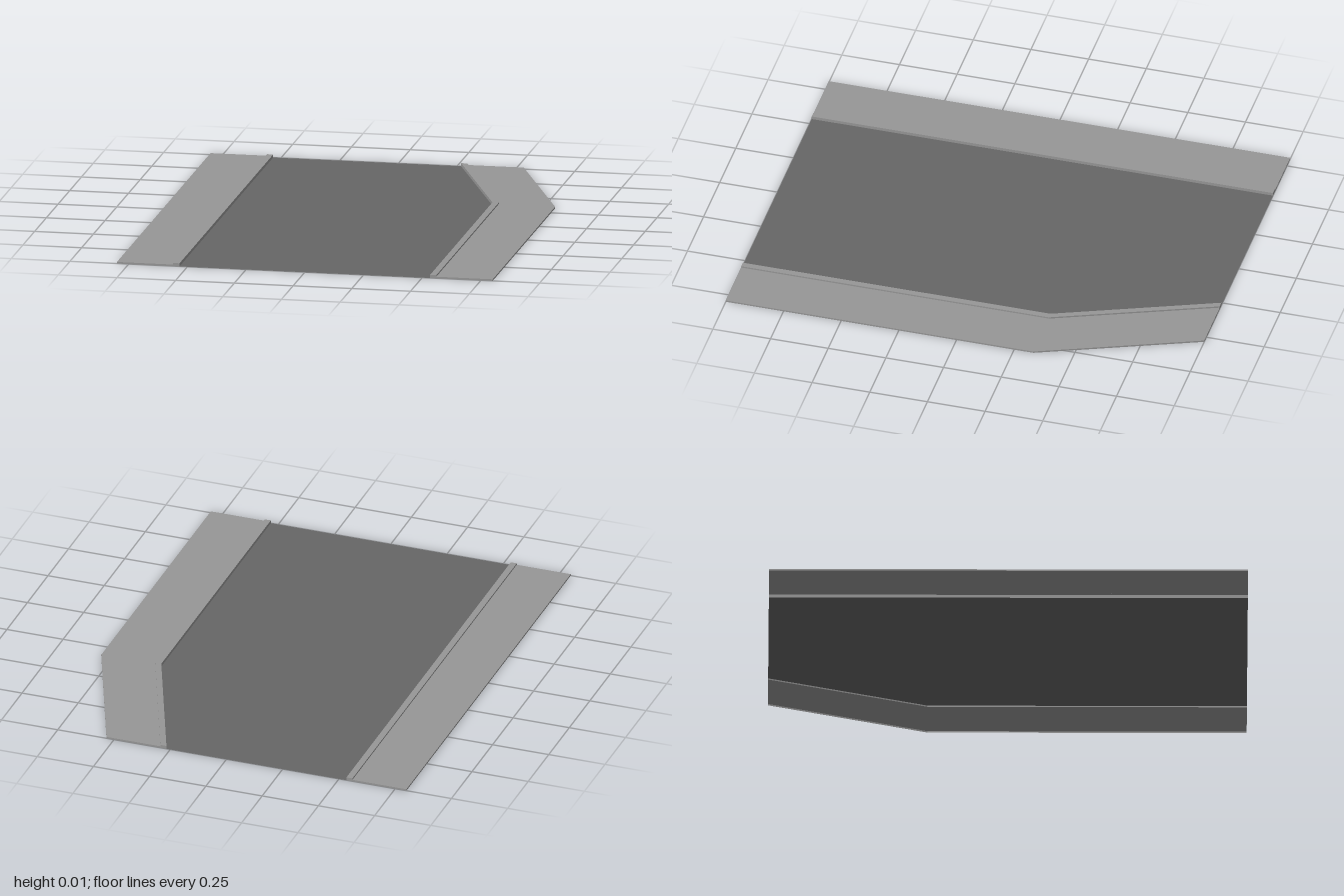
import * as THREE from 'three';

const concrete = new THREE.MeshStandardMaterial({ name: 'concrete', color: 0x979797, side: THREE.DoubleSide });
const asphalt = new THREE.MeshStandardMaterial({ name: 'asphalt', color: 0x666666, side: THREE.DoubleSide });

// Pavement section: [distance from the road edge, height], open underneath
const SECTION = [[0, 0], [0, 0.0133], [0.0267, 0.0133], [0.0267, 0.0067], [0.2667, 0.0067], [0.2667, 0]];

// Sweeps the section along a road edge of [x, z] points; side is +1 or -1 in x
function pavement(name, path, side) {
  const rings = path.map(([x, z]) => SECTION.map(([d, y]) => [x + side * d, y, z]));
  const pos = [];
  const tri = (...corners) => corners.forEach((c) => pos.push(...c));

  for (let i = 0; i < rings.length - 1; i++) {
    for (let j = 0; j < SECTION.length - 1; j++) {
      const a = rings[i][j], b = rings[i][j + 1], c = rings[i + 1][j + 1], d = rings[i + 1][j];
      tri(a, b, c);
      tri(a, c, d);
    }
  }
  // End caps, fanned from the inner corner of the kerb step
  const first = rings[0], last = rings[rings.length - 1];
  for (const [p, q] of [[4, 5], [5, 0], [0, 1], [1, 2]]) {
    tri(first[3], first[q], first[p]);
    tri(last[3], last[p], last[q]);
  }

  const geometry = new THREE.BufferGeometry();
  geometry.setAttribute('position', new THREE.Float32BufferAttribute(pos, 3));
  geometry.computeVertexNormals();
  const mesh = new THREE.Mesh(geometry, concrete);
  mesh.name = name;
  return mesh;
}

export function createModel() {
  const group = new THREE.Group();
  group.name = 'roadTile';

  // Road edges: the left one bends inward towards the back
  const leftEdge = [[0.5333, 1], [0.5333, -0.3333], [0.2667, -1]];
  const rightEdge = [[-0.5333, -1], [-0.5333, 1]];

  // Flat road surface between the two edges
  const outline = [...leftEdge, ...rightEdge].map(([x, z]) => new THREE.Vector2(x, -z));
  const road = new THREE.Mesh(new THREE.ShapeGeometry(new THREE.Shape(outline)).rotateX(-Math.PI / 2), asphalt);
  road.name = 'roadSurface';

  group.add(road, pavement('leftPavement', leftEdge, 1), pavement('rightPavement', rightEdge, -1));
  return group;
}
